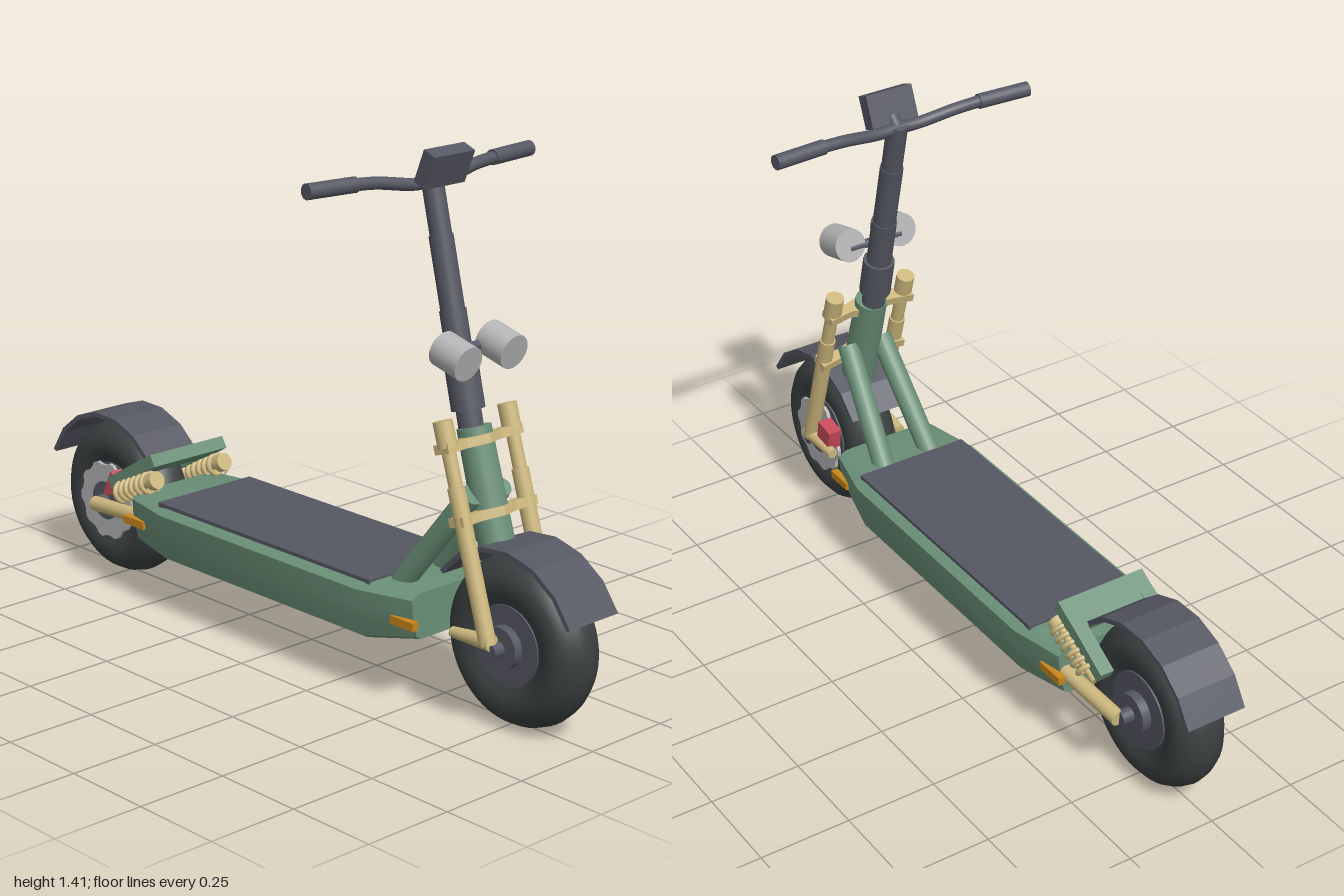
import * as THREE from 'three';
import { toCreasedNormals } from 'three/addons/utils/BufferGeometryUtils.js';

const paint = (name, color) => Object.assign(new THREE.MeshStandardMaterial({ color }), { name });
const V = (x, y, z) => new THREE.Vector3(x, y, z);

export function createModel() {
  const green = paint('frame green', 0x6b9078);
  const dark = paint('dark grey', 0x555762);
  const rubber = paint('tyre rubber', 0x3b4040);
  const tan = paint('tan metal', 0xcdb87e);
  const silver = paint('light grey', 0xb4b4b6);
  const orange = paint('reflector orange', 0xc8861c);
  const red = paint('caliper red', 0xc84c58);

  const root = new THREE.Group();
  root.name = 'scooter';
  const add = (name, geo, mat, x = 0, y = 0, z = 0, rz = 0, parent = root) => {
    const m = new THREE.Mesh(geo, mat);
    m.name = name;
    m.position.set(x, y, z);
    m.rotation.z = rz;
    parent.add(m);
    return m;
  };
  const box = (name, mat, w, h, d, x, y, z, rz = 0) =>
    add(name, new THREE.BoxGeometry(w, h, d), mat, x, y, z, rz);
  // Round bar from point a to point b
  const rod = (name, mat, a, b, r, rEnd = r) => {
    const dir = b.clone().sub(a);
    const m = add(name, new THREE.CylinderGeometry(rEnd, r, dir.length(), 20), mat);
    m.position.copy(a).addScaledVector(dir, 0.5);
    m.quaternion.setFromUnitVectors(V(0, 1, 0), dir.normalize());
    return m;
  };
  // Flat outline in x, y with thickness centred on z
  const slab = (shape, depth) => {
    const g = new THREE.ExtrudeGeometry(shape, { depth, bevelEnabled: false });
    return g.translate(0, 0, -depth / 2);
  };

  // Deck body: cross-sections [x, width scale, bottom y] lofted along x
  const half = [[0.16, 0.31], [0.19, 0.293], [0.187, 0.25], [0.178, 0.2], [0.168, 0.165], [0.15, 0.155]];
  const profile = [...half, ...half.map(([z, y]) => [-z, y]).reverse()];
  const stations = [[-0.555, 0.83, 0.168], [-0.4, 1, 0.155], [0.37, 1, 0.155], [0.53, 0.8, 0.188]];
  const rings = stations.map(([x, s, yb]) =>
    profile.map(([z, y]) => [x, 0.31 - (0.31 - y) * (0.31 - yb) / 0.155, z * s]));
  const tri = [];
  const n = profile.length;
  for (let k = 0; k < rings.length - 1; k++) {
    const [a, b] = [rings[k], rings[k + 1]];
    for (let i = 0; i < n; i++) {
      const j = (i + 1) % n;
      tri.push(a[j], b[j], b[i], a[j], b[i], a[i]);
    }
  }
  const first = rings[0], last = rings[rings.length - 1];
  for (let i = 1; i < n - 1; i++) {
    tri.push(last[0], last[i], last[i + 1], first[0], first[i + 1], first[i]);
  }
  const deckGeo = new THREE.BufferGeometry();
  deckGeo.setAttribute('position', new THREE.Float32BufferAttribute(tri.flat(), 3));
  add('deckBody', toCreasedNormals(deckGeo, 0.6), green);
  box('deckPad', dark, 0.825, 0.018, 0.33, -0.022, 0.308, 0);

  // Wheels, with the brake on opposite sides front and rear
  const tyreProfile = [[0.1, -0.055], [0.13, -0.07], [0.155, -0.075], [0.18, -0.069], [0.203, -0.05],
    [0.216, -0.026], [0.221, 0], [0.216, 0.026], [0.203, 0.05], [0.18, 0.069], [0.155, 0.075],
    [0.13, 0.07], [0.1, 0.055]].map(([r, y]) => new THREE.Vector2(r, y));
  const tyreGeo = new THREE.LatheGeometry(tyreProfile, 56).rotateX(Math.PI / 2);
  const disc = (r, w) => new THREE.CylinderGeometry(r, r, w, 40).rotateX(Math.PI / 2);
  const rotorShape = new THREE.Shape();
  for (let i = 0; i < 40; i++) {
    const r = i % 4 < 2 ? 0.113 : 0.104, t = i * Math.PI / 20;
    rotorShape[i ? 'lineTo' : 'moveTo'](r * Math.cos(t), r * Math.sin(t));
  }
  rotorShape.holes.push(new THREE.Path().absarc(0, 0, 0.05, 0, Math.PI * 2, true));
  const wheel = (name, x, side, from, to) => {
    const g = new THREE.Group();
    g.name = name;
    g.position.set(x, 0.222, 0);
    root.add(g);
    add('tyre', tyreGeo, rubber, 0, 0, 0, 0, g);
    add('hub', disc(0.105, 0.125), dark, 0, 0, 0, 0, g);
    add('hubCap', disc(0.055, 0.175), dark, 0, 0, 0, 0, g);
    add('axle', disc(0.02, 0.24), dark, 0, 0, 0, 0, g);
    add('brakeRotor', slab(rotorShape, 0.01), silver, 0, 0, side * 0.079, 0, g);
    // Fender: faceted arc band
    const arc = new THREE.Shape();
    const steps = 6;
    const at = (i, r) => {
      const t = THREE.MathUtils.degToRad(from + (to - from) * i / steps);
      return [r * Math.cos(t), r * Math.sin(t)];
    };
    arc.moveTo(...at(0, 0.254));
    for (let i = 1; i <= steps; i++) arc.lineTo(...at(i, 0.254));
    for (let i = steps; i >= 0; i--) arc.lineTo(...at(i, 0.241));
    add('fender', slab(arc, 0.172), dark, 0, 0, 0, 0, g);
  };
  wheel('rearWheel', -0.765, 1, 157, 40);
  wheel('frontWheel', 0.765, -1, 144, 26);

  // Brake calipers
  const cal = new THREE.Shape([[-0.035, -0.035], [0.035, -0.02], [0.03, 0.02], [0, 0.042]]
    .map(([x, y]) => new THREE.Vector2(x, y)));
  add('rearCaliper', slab(cal, 0.04), red, -0.697, 0.29, 0.1);
  box('frontCaliper', red, 0.06, 0.06, 0.04, 0.675, 0.275, -0.098, 0.2);

  // Rear suspension plate with a slot for the wheel
  const tilt = 0.54;
  box('rearPlate', green, 0.085, 0.035, 0.26, -0.536, 0.389, 0, tilt);
  class Helix extends THREE.Curve {
    getPoint(t, target = V(0, 0, 0)) {
      const a = t * Math.PI * 2 * 6;
      return target.set(0.027 * Math.cos(a), (t - 0.5) * 0.15, 0.027 * Math.sin(a));
    }
  }
  const springGeo = new THREE.TubeGeometry(new Helix(), 150, 0.007, 7);

  // Fork line, parametrised by height
  const forkAt = (y, z, off = 0) => V(0.588 + (0.768 - y) * 0.31 + off, y, z);
  const forkTilt = Math.atan(0.31);

  for (const s of [1, -1]) {
    box('rearPlateArm', green, 0.16, 0.035, 0.04, -0.62, 0.341, s * 0.11, tilt);

    // Shock absorber and swing arm
    const a = V(-0.665, 0.275, s * 0.122), b = V(-0.49, 0.357, s * 0.122);
    rod('shockRod', tan, a, b, 0.012);
    const spring = add('shockSpring', springGeo, tan);
    spring.position.copy(a).lerp(b, 0.5);
    spring.quaternion.setFromUnitVectors(V(0, 1, 0), b.clone().sub(a).normalize());
    rod('shockEnd', tan, a.clone().lerp(b, 0.88), b, 0.025);
    rod('swingArm', tan, V(-0.765, 0.222, s * 0.122), V(-0.53, 0.24, s * 0.135), 0.021);

    // Side reflectors
    box('rearReflector', orange, 0.085, 0.022, 0.02, -0.535, 0.235, s * 0.163);
    box('frontReflector', orange, 0.08, 0.022, 0.02, 0.508, 0.235, s * 0.158);

    // Fork leg, its cap and the dropout arm
    rod('forkLeg', tan, forkAt(0.235, s * 0.113), forkAt(0.61, s * 0.113), 0.022);
    rod('forkTube', tan, forkAt(0.6, s * 0.113), forkAt(0.72, s * 0.113), 0.018);
    rod('forkCap', tan, forkAt(0.705, s * 0.113), forkAt(0.768, s * 0.113), 0.025);
    rod('dropoutArm', tan, V(0.632, 0.235, s * 0.112), V(0.765, 0.243, s * 0.112), 0.014, 0.022);

    // Twin tubes joining deck and head
    rod('diagonalTube', green, V(0.41, 0.29, s * 0.075), V(0.63, 0.575, s * 0.052), 0.03);

    // Headlamps
    const lamp = [V(0.553, 0.937, s * 0.08), V(0.64, 0.914, s * 0.08)];
    rod('headlamp', silver, ...lamp, 0.046);

    // Handlebar half and grip
    const bar = new THREE.CatmullRomCurve3([V(0.43, 1.318, 0), V(0.427, 1.318, s * 0.06),
      V(0.413, 1.335, s * 0.17), V(0.407, 1.34, s * 0.24)]);
    add('handlebar', new THREE.TubeGeometry(bar, 24, 0.016, 14), dark);
    rod('grip', dark, V(0.407, 1.34, s * 0.235), V(0.395, 1.342, s * 0.383), 0.02);
  }

  // Fork crowns: bow-tie plates
  const crown = new THREE.Shape([[-0.03, -0.132], [0.02, -0.132], [0.014, -0.06], [0.035, 0],
    [0.014, 0.06], [0.02, 0.132], [-0.03, 0.132], [-0.018, 0.06], [-0.04, 0], [-0.018, -0.06]]
    .map(([x, y]) => new THREE.Vector2(x, y)));
  const crownGeo = slab(crown, 0.024).rotateX(-Math.PI / 2);
  for (const y of [0.703, 0.53]) {
    const p = forkAt(y, 0);
    add('forkCrown', crownGeo, tan, p.x, p.y, 0, forkTilt);
  }

  // Head tube, steering column and collar
  rod('headTube', green, V(0.672, 0.44, 0), V(0.585, 0.73, 0), 0.047, 0.044);
  const stemAt = (y) => V(0.43 + (1.326 - y) * 0.243, y, 0);
  rod('stemNeck', dark, stemAt(0.7), stemAt(0.8), 0.032);
  rod('stemCollar', dark, stemAt(0.77), stemAt(0.875), 0.043);
  rod('stemSleeve', dark, stemAt(0.86), stemAt(1.01), 0.034);
  rod('stemLower', dark, stemAt(1.0), stemAt(1.19), 0.031);
  rod('stemUpper', dark, stemAt(1.18), stemAt(1.33), 0.028);
  rod('lampBracket', dark, V(0.56, 0.925, -0.08), V(0.56, 0.925, 0.08), 0.012);

  // Display box on the handlebar
  box('display', dark, 0.04, 0.09, 0.138, 0.472, 1.362, 0, -0.38);
  rod('displayMount', dark, V(0.43, 1.318, 0), V(0.465, 1.345, 0), 0.018);

  return root;
}
